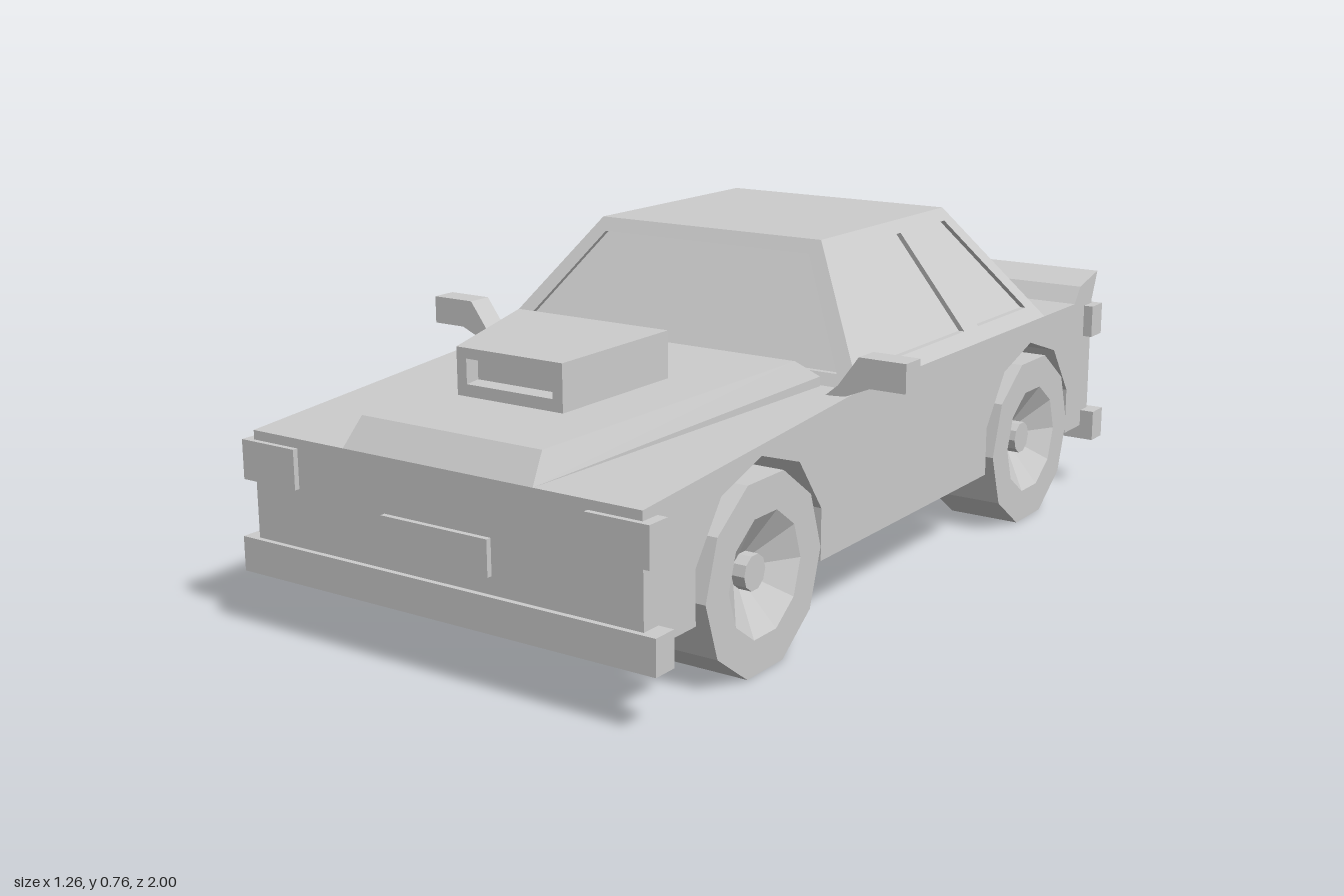
import * as THREE from 'three';
import { ConvexGeometry } from 'three/addons/geometries/ConvexGeometry.js';

const grey = new THREE.MeshStandardMaterial({ color: 0xcccccc, flatShading: true });

export function createModel() {
  const car = new THREE.Group();
  car.name = 'car';

  const add = (name, geometry, parent = car) => {
    const mesh = new THREE.Mesh(geometry, grey);
    mesh.name = name;
    parent.add(mesh);
    return mesh;
  };
  const box = (name, x0, x1, y0, y1, z0, z1) =>
    add(name, new THREE.BoxGeometry(x1 - x0, y1 - y0, z1 - z0)
      .translate((x0 + x1) / 2, (y0 + y1) / 2, (z0 + z1) / 2));
  const toVectors = pts => pts.map(p => new THREE.Vector2(...p));
  const extrude = (outline, holes, depth) => {
    const shape = new THREE.Shape(toVectors(outline));
    shape.holes = holes.map(h => new THREE.Path(toVectors(h)));
    return new THREE.ExtrudeGeometry(shape, { depth, bevelEnabled: false });
  };
  // Extrudes a [z, y] outline across the car from x0 to x1
  const across = (outline, holes, x0, x1) =>
    extrude(outline, holes, x1 - x0).rotateY(-Math.PI / 2).translate(x1, 0, 0);
  // Moves every vertex by a rule
  const warp = (geometry, rule) => {
    const pos = geometry.attributes.position;
    const v = new THREE.Vector3();
    for (let i = 0; i < pos.count; i++) {
      rule(v.fromBufferAttribute(pos, i));
      pos.setXYZ(i, v.x, v.y, v.z);
    }
    geometry.computeVertexNormals();
    return geometry;
  };
  // Solid from corners given for one side and mirrored in x
  const mirroredHull = pts => new ConvexGeometry(pts.flatMap(([x, y, z]) =>
    [new THREE.Vector3(x, y, z), new THREE.Vector3(-x, y, z)]));

  // Body: solid core, with side slabs notched by ten-sided wheel arches
  const top = [[-0.97, 0.49], [0.22, 0.49], [0.985, 0.43], [0.985, 0.16]];
  const arch = cz => {
    const pts = [[cz + 0.226, 0.16]];
    for (const deg of [18, 54, 90, 126, 162]) {
      const a = deg * Math.PI / 180;
      pts.push([cz + 0.238 * Math.cos(a), 0.2 + 0.238 * Math.sin(a)]);
    }
    return [...pts, [cz - 0.226, 0.16]];
  };
  const axles = [0.595, -0.61];
  const sideOutline = [...top, ...axles.flatMap(arch), [-0.97, 0.16]];
  add('bodyCore', across([...top, [-0.97, 0.16]], [], -0.32, 0.32));
  add('leftBodySide', across(sideOutline, [], 0.32, 0.49));
  add('rightBodySide', across(sideOutline, [], -0.49, -0.32));

  // Raised hood
  add('hood', mirroredHull([
    [0.24, 0.43, 0.985], [0.4, 0.485, 0.23], [0.4, 0.51, 0.23],
    [0.228, 0.49, 0.94], [0.372, 0.55, 0.285]]));

  // Hood scoop: widens and rises to the rear, with an open mouth
  const scoop = extrude(
    [[-0.135, 0.495], [0.135, 0.495], [0.135, 0.607], [-0.135, 0.607]],
    [[[-0.11, 0.532], [-0.11, 0.585], [0.11, 0.585], [0.11, 0.532]]], 0.27)
    .translate(0, 0, 0.49);
  add('hoodScoop', warp(scoop, v => {
    const t = (0.76 - v.z) / 0.27;
    if (Math.abs(v.x) > 0.12) v.x *= 1 + 0.444 * t;
    v.y += 0.024 * t;
  }));
  add('scoopMouthBack', mirroredHull([
    [0.112, 0.53, 0.725], [0.112, 0.592, 0.725],
    [0.112, 0.552, 0.49], [0.112, 0.613, 0.49]]));

  // Cabin: four leaning frames with window openings around a glass block
  const base = 0.49, roofY = 0.765, rise = roofY - base;
  const thick = 0.014;
  const sideLean = 0.195 / rise;
  const sideFrame = [[0.225, base], [0.057, roofY], [-0.505, roofY], [-0.685, base]];
  const sideWindows = [
    [[0.175, 0.52], [0.04, 0.738], [-0.265, 0.738], [-0.295, 0.52]],
    [[-0.365, 0.52], [-0.335, 0.738], [-0.48, 0.738], [-0.62, 0.52]]];
  for (const s of [1, -1]) {
    const x = s * 0.49, inner = s * (0.49 - thick);
    add(s > 0 ? 'leftWindowFrame' : 'rightWindowFrame',
      warp(across(sideFrame, sideWindows, Math.min(x, inner), Math.max(x, inner)),
        v => { v.x -= s * (v.y - base) * sideLean; }));
  }
  const endFrame = [[-0.49, base], [0.49, base], [0.295, roofY], [-0.295, roofY]];
  const endWindow = [[-0.428, 0.515], [-0.275, 0.735], [0.275, 0.735], [0.428, 0.515]];
  for (const [name, z, lean] of [
    ['windshieldFrame', 0.225 - thick, -0.168 / rise],
    ['rearWindowFrame', -0.685, 0.18 / rise]]) {
    add(name, warp(extrude(endFrame, [endWindow], thick).translate(0, 0, z),
      v => { v.z += (v.y - base) * lean; }));
  }
  add('glass', mirroredHull([
    [0.49 - thick, base, 0.225 - thick], [0.49 - thick, base, -0.685 + thick],
    [0.295 - thick, roofY - 0.001, 0.057 - thick],
    [0.295 - thick, roofY - 0.001, -0.505 + thick]]));
  box('roof', -0.285, 0.285, roofY - 0.01, roofY, -0.495, 0.047);

  // Tail spoiler
  add('spoiler', across(
    [[-0.865, 0.49], [-0.97, 0.485], [-1, 0.555], [-0.895, 0.53]], [], -0.49, 0.49));

  // Bumpers, number plates and wraparound lights
  box('frontBumper', -0.525, 0.525, 0.125, 0.2, 0.94, 0.997);
  box('rearBumper', -0.525, 0.525, 0.125, 0.2, -0.988, -0.93);
  box('frontPlate', -0.135, 0.135, 0.238, 0.314, 0.97, 0.997);
  box('rearPlate', -0.135, 0.135, 0.238, 0.314, -0.988, -0.95);
  for (const s of [1, -1]) {
    const side = s > 0 ? 'left' : 'right';
    const [x0, x1] = s > 0 ? [0.367, 0.513] : [-0.513, -0.367];
    box(side + 'Headlight', x0, x1, 0.325, 0.41, 0.94, 0.997);
    box(side + 'TailLight', x0, x1, 0.397, 0.476, -0.985, -0.925);
  }

  // Door mirrors: bent arm and head, hollowed at the rear
  for (const s of [1, -1]) {
    const flip = pts => pts.map(([x, y]) => [s * x, y]);
    const outline = flip([[0.44, 0.485], [0.487, 0.488], [0.545, 0.512], [0.628, 0.512],
      [0.628, 0.575], [0.518, 0.575], [0.47, 0.51]]);
    const hole = flip([[0.55, 0.522], [0.55, 0.565], [0.618, 0.565], [0.618, 0.522]]);
    const mirror = new THREE.Group();
    mirror.name = s > 0 ? 'leftMirror' : 'rightMirror';
    car.add(mirror);
    add('mirrorShell', extrude(outline, [], 0.04).translate(0, 0, 0.235), mirror);
    add('mirrorRim', extrude(outline, [hole], 0.02).translate(0, 0, 0.215), mirror);
  }

  // Wheels: ten-sided, with a dished rim and a raised hub
  const wheelProfile = toVectors([[0, -0.175], [0.208, -0.175], [0.208, 0], [0.13, 0],
    [0.038, -0.055], [0.038, -0.025], [0, -0.025]]);
  const wheel = new THREE.LatheGeometry(wheelProfile, 10).rotateZ(-Math.PI / 2);
  axles.forEach((z, i) => {
    for (const s of [1, -1]) {
      const mesh = add((i ? 'rear' : 'front') + (s > 0 ? 'Left' : 'Right') + 'Wheel', wheel);
      mesh.position.set(s * 0.5, 0.198, z);
      if (s < 0) mesh.rotation.y = Math.PI;
    }
  });

  return car;
}
